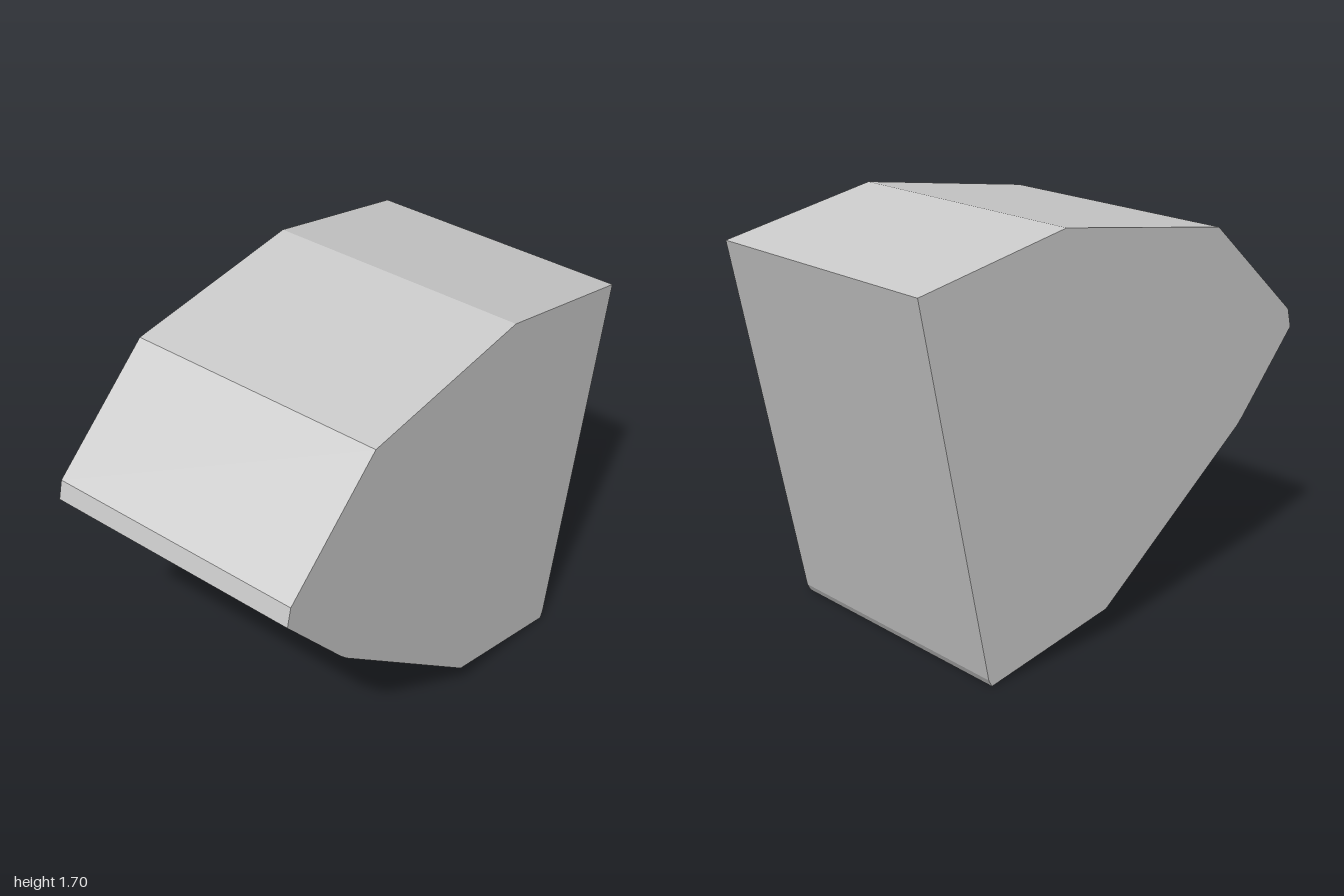
import * as THREE from 'three';

export function createModel() {
  const group = new THREE.Group();
  const depth = 1.16;

  // Faceted outline, counter-clockwise from the lowest corner
  const outline = [
    [0.68, 0], [0.695, 0.03], [1, 1.565], [0.31, 1.7], [-0.52, 1.578],
    [-0.98, 1.16], [-1, 1.08], [-0.71, 0.745], [-0.68, 0.715], [0.075, 0.125],
  ].map(([x, y]) => new THREE.Vector2(x, y));

  // Solid block: the outline extruded along z and centred
  const geometry = new THREE.ExtrudeGeometry(new THREE.Shape(outline), { depth, bevelEnabled: false });
  geometry.translate(0, 0, -depth / 2);

  const block = new THREE.Mesh(
    geometry,
    new THREE.MeshStandardMaterial({ color: 0xcccccc, flatShading: true }),
  );
  block.name = 'facetedBlock';
  group.add(block);
  return group;
}
